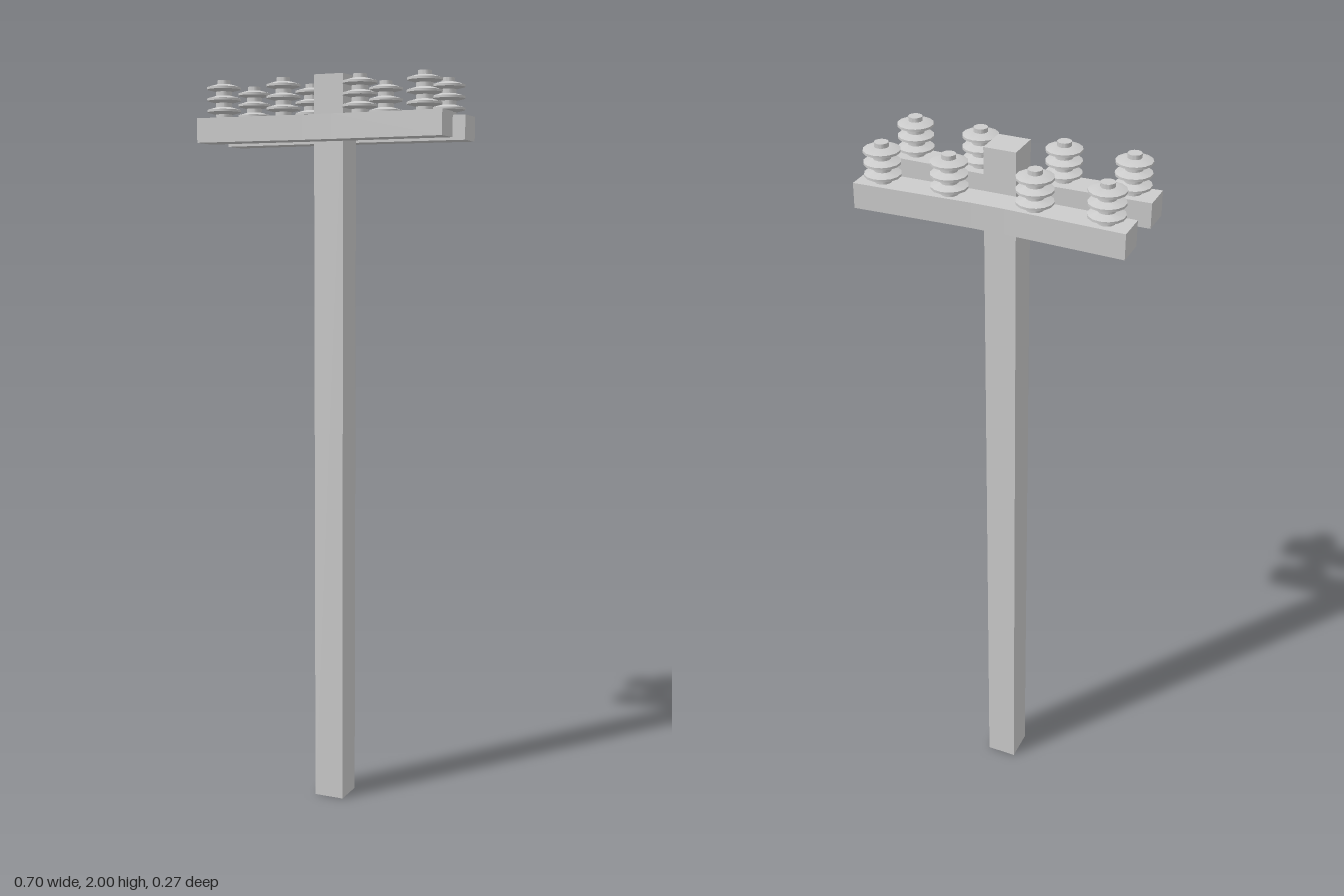
import * as THREE from 'three';
import { toCreasedNormals } from 'three/addons/utils/BufferGeometryUtils.js';

const material = new THREE.MeshStandardMaterial({ color: 0xcccccc, side: THREE.DoubleSide });

function addMesh(parent, name, geometry) {
  const mesh = new THREE.Mesh(geometry, material);
  mesh.name = name;
  parent.add(mesh);
  return mesh;
}

// Square post, open at the bottom
function postGeometry() {
  const geometry = new THREE.BoxGeometry(0.084, 2, 0.088).toNonIndexed();
  const kept = { position: 3, normal: 3, uv: 2 };
  for (const [key, size] of Object.entries(kept)) {
    const a = geometry.attributes[key].array;
    // drop the fourth of the six sides, the bottom one
    const data = [...a.slice(0, 18 * size), ...a.slice(24 * size)];
    geometry.setAttribute(key, new THREE.Float32BufferAttribute(data, size));
  }
  geometry.clearGroups();
  return geometry.translate(0, 1, 0);
}

// Crossarm that bows away from the post towards its ends
function armGeometry(side) {
  const outline = [
    [-0.35, 0.05], [-0.042, 0.044], [0.042, 0.044], [0.35, 0.05],
    [0.35, 0.13], [0.042, 0.118], [-0.042, 0.118], [-0.35, 0.13],
  ];
  const shape = new THREE.Shape(outline.map(([x, z]) => new THREE.Vector2(x, -z * side)));
  const geometry = new THREE.ExtrudeGeometry(shape, { depth: 0.065, bevelEnabled: false });
  return geometry.rotateX(-Math.PI / 2).translate(0, 1.825, 0);
}

// Insulator: stem with three tapered discs and a small cap
function insulatorGeometry() {
  const points = [[0, 0], [0.022, 0]];
  for (const y of [0.01, 0.04, 0.07]) {
    points.push([0.022, y], [0.046, y + 0.006], [0.046, y + 0.012], [0.022, y + 0.019]);
  }
  points.push([0.018, 0.089], [0.018, 0.1], [0, 0.1]);
  const profile = points.map(([r, y]) => new THREE.Vector2(r, y));
  return toCreasedNormals(new THREE.LatheGeometry(profile, 14), 0.6);
}

export function createModel() {
  const model = new THREE.Group();
  model.name = 'utilityPole';
  addMesh(model, 'post', postGeometry());

  const insulator = insulatorGeometry();
  for (const side of [1, -1]) {
    const label = side > 0 ? 'front' : 'back';
    addMesh(model, label + 'Crossarm', armGeometry(side));
    for (const x of [-0.288, -0.11, 0.11, 0.288]) {
      addMesh(model, label + 'Insulator', insulator).position.set(x, 1.89, side * 0.09);
    }
  }
  return model;
}
